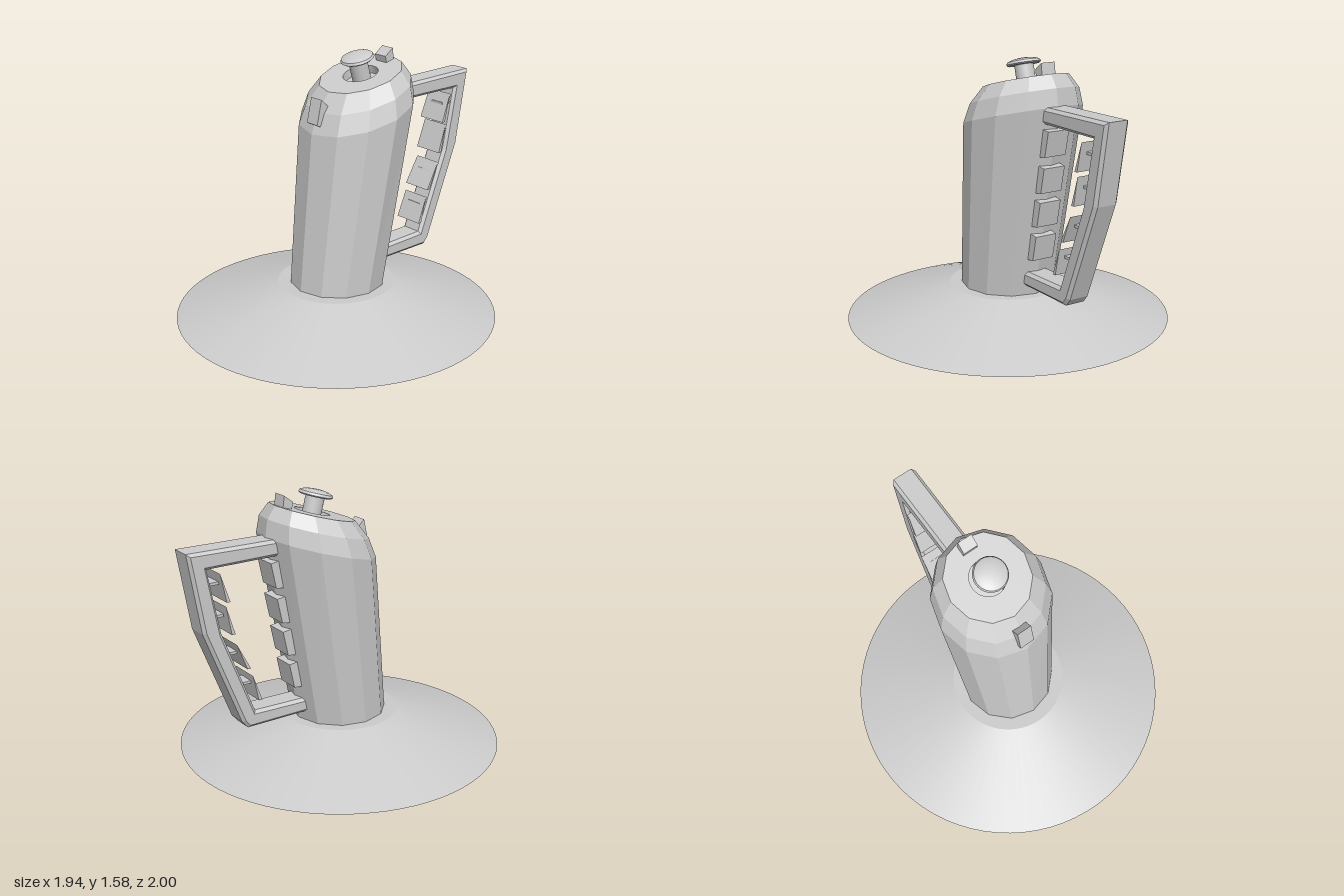
import * as THREE from 'three';
import { toCreasedNormals } from 'three/addons/utils/BufferGeometryUtils.js';

const flat = new THREE.MeshStandardMaterial({ color: 0xcccccc, flatShading: true });
const smooth = new THREE.MeshStandardMaterial({ color: 0xcccccc });
const smoothDouble = new THREE.MeshStandardMaterial({ color: 0xcccccc, side: THREE.DoubleSide });

const SIDES = 12;
const SLOPE = 0.28; // rise of the lid plane towards the back

function part(name, geometry, material = flat) {
  const mesh = new THREE.Mesh(geometry, material);
  mesh.name = name;
  return mesh;
}

// Extrudes a side profile of [z, y] points across x, centred on x = 0
function sideProfile(points, width, bevel = 0) {
  const shape = new THREE.Shape(points.map(([z, y]) => new THREE.Vector2(z, y)));
  const depth = width - 2 * bevel;
  const geometry = new THREE.ExtrudeGeometry(shape, {
    depth, bevelEnabled: bevel > 0, bevelSegments: 1,
    bevelSize: bevel, bevelThickness: bevel, bevelOffset: -bevel,
  });
  return geometry.translate(0, 0, -depth / 2).rotateY(-Math.PI / 2);
}

// Leaning twelve-sided shell lofted through tilted rings
function bodyGeometry() {
  const rings = [ // centre y, centre z, radius, tilt
    [0.19, 0.022, 0.285, 0],
    [1.25, -0.13, 0.343, SLOPE],
    [1.36, -0.145, 0.312, SLOPE],
    [1.45, -0.16, 0.245, SLOPE],
  ];
  const position = [], index = [];
  rings.forEach(([y, z, r, tilt], i) => {
    for (let j = 0; j < SIDES; j++) {
      const a = (j / SIDES) * Math.PI * 2, dz = r * Math.cos(a);
      position.push(r * Math.sin(a), y - tilt * dz, z + dz);
      if (i === 0) continue;
      const k = (j + 1) % SIDES, lo = (i - 1) * SIDES, hi = i * SIDES;
      index.push(lo + j, lo + k, hi + k, lo + j, hi + k, hi + j);
    }
  });
  const geometry = new THREE.BufferGeometry();
  geometry.setAttribute('position', new THREE.Float32BufferAttribute(position, 3));
  geometry.setIndex(index);
  geometry.computeVertexNormals();
  return geometry;
}

// Sloping lid with a round well and a push button
function createLid() {
  const lid = new THREE.Group();
  lid.name = 'lid';
  const tilt = Math.atan(SLOPE);

  const plate = new THREE.Shape();
  for (let j = 0; j < SIDES; j++) {
    const a = (j / SIDES) * Math.PI * 2;
    plate[j ? 'lineTo' : 'moveTo'](0.245 * Math.sin(a), 0.245 * Math.cos(a) / Math.cos(tilt));
  }
  plate.holes.push(new THREE.Path().absarc(0, 0, 0.105, 0, Math.PI * 2, true));
  lid.add(part('lidPlate', new THREE.ShapeGeometry(plate, 16).rotateX(-Math.PI / 2)));

  const lathe = (points) => toCreasedNormals(
    new THREE.LatheGeometry(points.map(([r, y]) => new THREE.Vector2(r, y)), 32), 0.6);
  lid.add(part('buttonWell', lathe([[0, -0.05], [0.105, -0.05], [0.105, 0]]), smoothDouble));
  lid.add(part('button', lathe([
    [0.055, -0.05], [0.055, 0.088], [0.09, 0.088], [0.1, 0.096],
    [0.093, 0.11], [0.07, 0.12], [0.035, 0.126], [0, 0.127],
  ]), smooth));

  lid.position.set(0, 1.45, -0.16);
  lid.rotation.x = tilt;
  return lid;
}

// Row of pads on the body and thin finger plates inside the handle
function createGrip() {
  const grip = new THREE.Group();
  grip.name = 'grip';

  for (const [z, y] of [[-0.482, 1.215], [-0.445, 1.0], [-0.41, 0.795], [-0.37, 0.585]]) {
    grip.add(part('bodyPad', sideProfile(
      [[z, y], [z + 0.032, y - 0.15], [z + 0.11, y - 0.16], [z + 0.08, y + 0.01]], 0.14)));
  }

  const plates = [ // top z, top y, bottom z, bottom y, peg y, peg inner z, peg outer z
    [-0.83, 1.227, -0.76, 1.056, 1.16, -0.8, -0.88],
    [-0.8, 1.035, -0.735, 0.863, 0.97, -0.78, -0.84],
    [-0.74, 0.8, -0.643, 0.638, 0.735, -0.705, -0.77],
    [-0.643, 0.59, -0.574, 0.43, 0.535, -0.62, -0.69],
  ];
  for (const [z0, y0, z1, y1, py, pz0, pz1] of plates) {
    grip.add(part('fingerPlate', sideProfile(
      [[z0, y0], [z1, y1], [z1 - 0.022, y1], [z0 + 0.018, y0 - 0.005]].map(
        ([z, y], i) => (i === 3 ? [z0 + 0.012, y0 - 0.002] : [z, y])), 0.19)));
    const peg = part('platePeg', new THREE.BoxGeometry(0.1, 0.016, pz0 - pz1));
    peg.position.set(0, py, (pz0 + pz1) / 2);
    grip.add(peg);
  }
  return grip;
}

export function createModel() {
  const model = new THREE.Group();
  model.name = 'pitcher';

  // Wide conical foot
  const base = part('base', toCreasedNormals(
    new THREE.CylinderGeometry(0.35, 0.97, 0.2, 72), 0.25), smooth);
  base.position.set(0, 0.1, 0.03);
  model.add(base);

  model.add(part('body', bodyGeometry()));
  model.add(createLid());

  // Angular handle with chamfered edges
  model.add(part('handle', sideProfile([
    [-0.4, 1.345], [-1.0, 1.357], [-0.92, 0.89], [-0.69, 0.306], [-0.654, 0.263], [-0.22, 0.26],
    [-0.22, 0.348], [-0.605, 0.36], [-0.805, 0.87], [-0.882, 1.252], [-0.4, 1.25],
  ], 0.155, 0.018)));
  model.add(createGrip());

  // Small blocks on the front shoulder and the back of the lid
  model.add(part('frontTab', sideProfile(
    [[0.175, 1.36], [0.12, 1.31], [0.16, 1.19], [0.208, 1.215]], 0.09)));
  model.add(part('rearTab', sideProfile(
    [[-0.315, 1.535], [-0.33, 1.47], [-0.385, 1.49], [-0.372, 1.578]], 0.09)));

  return model;
}
